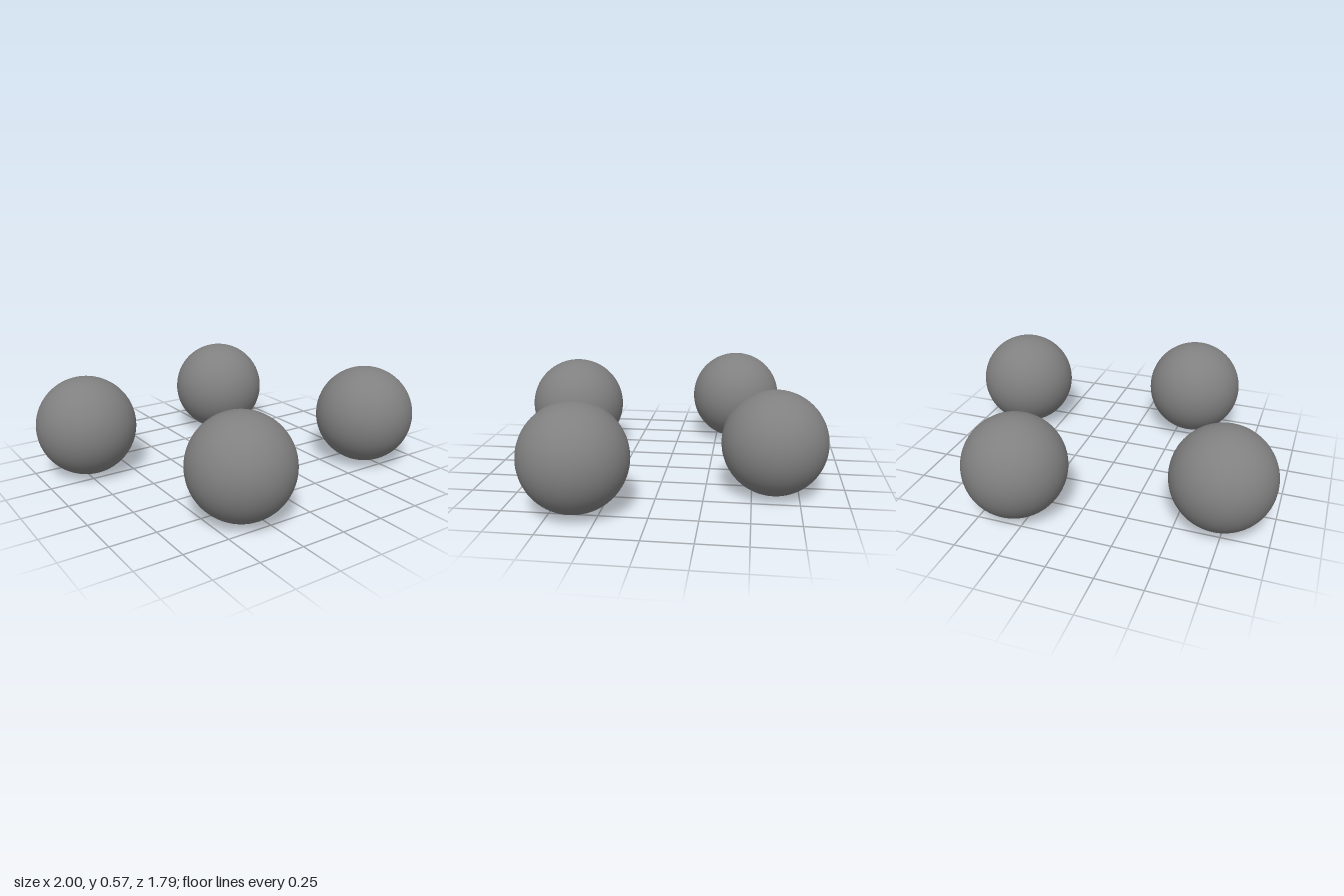
import * as THREE from 'three';

export function createModel() {
  const model = new THREE.Group();
  model.name = 'sphereCluster';

  const grey = new THREE.MeshStandardMaterial({ color: 0x808080 });
  grey.name = 'grey';

  // Four equal smooth balls at the corners of a turned square, very slightly tilted
  const ball = new THREE.SphereGeometry(0.28, 64, 48);
  const balls = [
    ['frontLeftBall', 0.72, 0.289, 0.373],
    ['frontRightBall', -0.335, 0.286, 0.612],
    ['backLeftBall', 0.333, 0.281, -0.613],
    ['backRightBall', -0.72, 0.28, -0.373],
  ];
  for (const [name, x, y, z] of balls) {
    const mesh = new THREE.Mesh(ball, grey);
    mesh.name = name;
    mesh.position.set(x, y, z);
    model.add(mesh);
  }
  return model;
}
